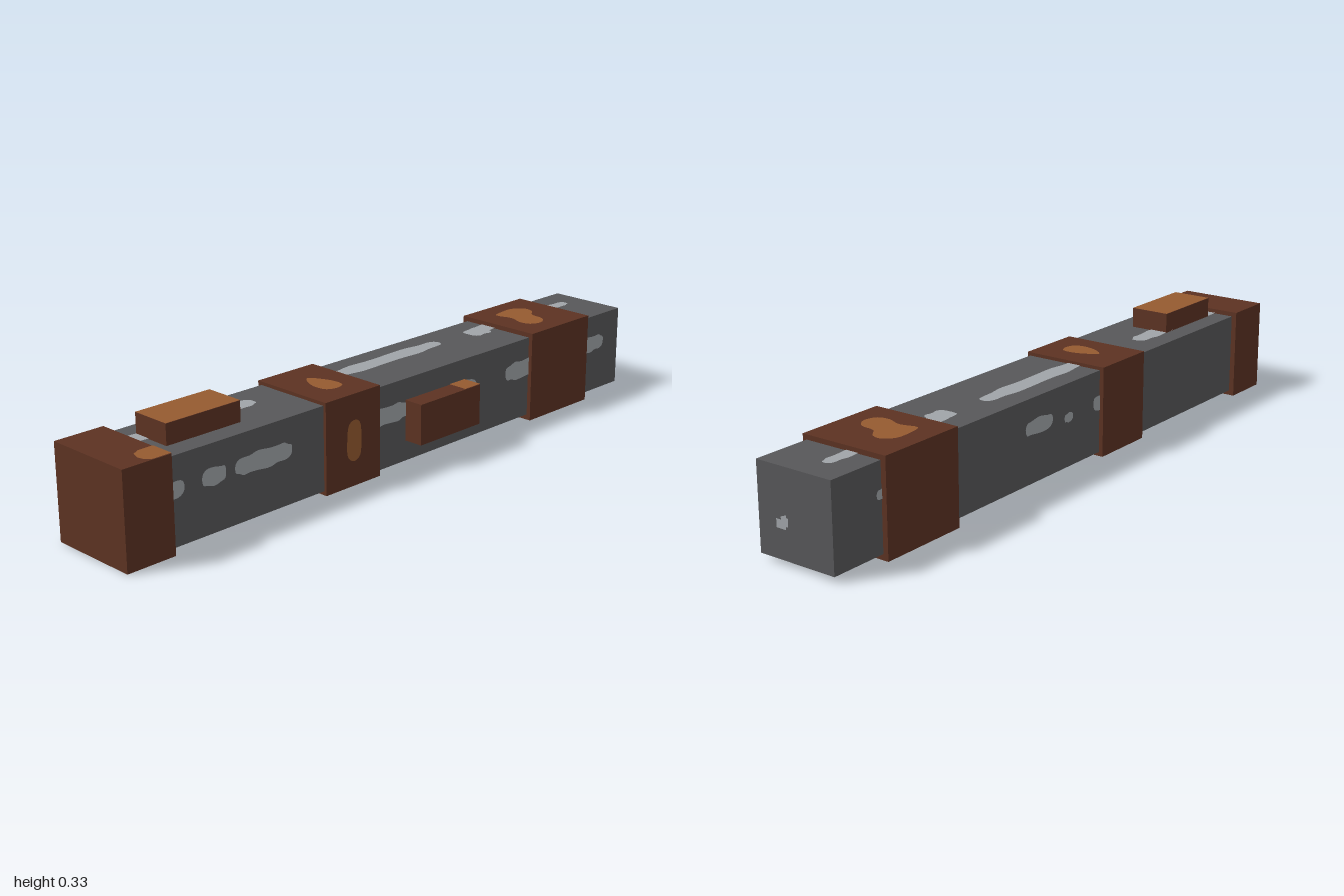
import * as THREE from 'three';

const mat = (name, color) => {
  const m = new THREE.MeshStandardMaterial({ color });
  m.name = name;
  return m;
};

export function createModel() {
  const group = new THREE.Group();
  const steel = mat('dark steel', 0x575759);
  const bare = mat('worn bare metal', 0xa0a4a8);
  const brown = mat('brown rust', 0x5c3222);
  const orange = mat('orange rust', 0x955a30);

  const add = (name, geometry, material) => {
    const mesh = new THREE.Mesh(geometry, material);
    mesh.name = name;
    group.add(mesh);
    return mesh;
  };

  // Box given by its minimum and maximum on each axis
  const box = (name, [x0, x1], [y0, y1], [z0, z1], material) => {
    const g = new THREE.BoxGeometry(x1 - x0, y1 - y0, z1 - z0);
    g.translate((x0 + x1) / 2, (y0 + y1) / 2, (z0 + z1) / 2);
    return add(name, g, material);
  };

  // Flat patch on one side of the model; points are [x, y], [x, z] on top, [z, y] on the end
  const patch = (name, side, level, points, material, smooth = true) => {
    const flip = { front: [1, 1], back: [-1, 1], top: [1, -1], end: [-1, 1] }[side];
    let pts = points.map(([a, b]) => new THREE.Vector2(a * flip[0], b * flip[1]));
    if (smooth) {
      const curve = new THREE.CatmullRomCurve3(pts.map((p) => new THREE.Vector3(p.x, p.y, 0)), true);
      pts = curve.getPoints(pts.length * 4).slice(0, -1).map((p) => new THREE.Vector2(p.x, p.y));
    }
    const g = new THREE.ShapeGeometry(new THREE.Shape(pts));
    if (side === 'back') g.rotateY(Math.PI);
    if (side === 'top') g.rotateX(-Math.PI / 2);
    if (side === 'end') g.rotateY(Math.PI / 2);
    const d = level + (level < 0 ? -0.002 : 0.002);
    g.translate(side === 'end' ? d : 0, side === 'top' ? d : 0, side === 'front' || side === 'back' ? d : 0);
    return add(name, g, material);
  };

  // Worn streak: a long rounded blob with an uneven outline
  const streak = (side, level, a0, a1, b0, b1) => {
    const n = a1 - a0 > 0.15 ? 22 : 12;
    const points = [];
    for (let i = 0; i < n; i++) {
      const t = (i / n) * Math.PI * 2;
      const c = Math.cos(t), s = Math.sin(t);
      const wobble = 0.9 + 0.1 * Math.sin(i * 2.3 + a0 * 9);
      points.push([
        (a0 + a1) / 2 + Math.sign(c) * Math.abs(c) ** 0.8 * (a1 - a0) / 2,
        (b0 + b1) / 2 + Math.sign(s) * Math.abs(s) ** 0.5 * wobble * (b1 - b0) / 2,
      ]);
    }
    patch('wornStreak', side, level, points, bare);
  };

  // Square beam
  box('beam', [-0.99, 1], [0.017, 0.265], [-0.147, 0.102], steel);

  // Wrapped bands
  box('endBand', [-1, -0.847], [0.002, 0.279], [-0.163, 0.115], brown);
  box('middleBand', [-0.317, -0.108], [0.005, 0.275], [-0.16, 0.111], brown);
  box('wideBand', [0.549, 0.825], [0, 0.279], [-0.163, 0.115], brown);

  // Raised blocks, with lighter rust on top
  box('topBlock', [-0.802, -0.555], [0.26, 0.325], [-0.085, 0.038], brown);
  patch('topBlockRust', 'top', 0.324, [[-0.802, -0.085], [-0.555, -0.085], [-0.555, 0.038], [-0.802, 0.038]], orange, false);
  box('frontBlock', [0.004, 0.255], [0.079, 0.201], [0.1, 0.163], brown);
  patch('frontBlockRust', 'top', 0.201, [[0.19, 0.1], [0.255, 0.1], [0.255, 0.163], [0.19, 0.163]], orange, false);

  // Rust spots on the bands
  patch('endBandRust', 'top', 0.279,
    [[-0.847, 0.042], [-0.895, 0.042], [-0.918, 0.055], [-0.926, 0.08], [-0.922, 0.1], [-0.905, 0.115], [-0.847, 0.115]], orange, false);
  patch('middleBandTopRust', 'top', 0.275,
    [[-0.21, -0.073], [-0.19, -0.045], [-0.175, 0], [-0.18, 0.035], [-0.21, 0.046], [-0.24, 0.035], [-0.248, 0], [-0.235, -0.045]], orange);
  patch('middleBandFrontRust', 'front', 0.111,
    [[-0.21, 0.2], [-0.19, 0.19], [-0.184, 0.13], [-0.19, 0.09], [-0.212, 0.079], [-0.235, 0.095], [-0.239, 0.135], [-0.231, 0.19]], orange);
  patch('wideBandRust', 'top', 0.279,
    [[0.62, -0.09], [0.66, -0.102], [0.715, -0.1], [0.742, -0.07], [0.735, -0.04], [0.705, -0.015],
      [0.695, 0.035], [0.66, 0.058], [0.622, 0.045], [0.615, 0.01], [0.63, -0.035]], orange);

  // Worn streaks on the front, top and back of the beam
  for (const [a0, a1, b0, b1] of [
    [-0.9, -0.802, 0.148, 0.2], [-0.745, -0.665, 0.148, 0.202], [-0.635, -0.435, 0.145, 0.204],
    [-0.16, 0.02, 0.145, 0.204], [0.2, 0.307, 0.145, 0.2], [0.44, 0.62, 0.142, 0.205], [0.76, 0.922, 0.147, 0.203],
  ]) streak('front', 0.102, a0, a1, b0, b1);
  for (const [a0, a1, b0, b1] of [
    [-0.9, -0.78, -0.088, -0.03], [-0.62, -0.425, -0.09, -0.028], [-0.15, 0.317, -0.09, -0.025],
    [0.49, 0.6, -0.09, -0.028], [0.44, 0.52, -0.085, -0.01], [0.76, 0.925, -0.077, -0.033],
  ]) streak('top', 0.265, a0, a1, b0, b1);
  for (const [a0, a1, b0, b1] of [
    [0.12, 0.245, 0.155, 0.205], [0.025, 0.065, 0.15, 0.18], [-0.15, -0.075, 0.145, 0.195], [0.76, 0.845, 0.16, 0.195],
  ]) streak('back', -0.147, a0, a1, b0, b1);

  // Small stepped chip on the open end
  patch('endChip', 'end', 1,
    [[0.04, 0.101], [0.008, 0.101], [0.008, 0.109], [0, 0.109], [0, 0.133], [0.006, 0.133], [0.006, 0.14],
      [0.024, 0.133], [0.024, 0.125], [0.04, 0.125]], bare, false);

  return group;
}
